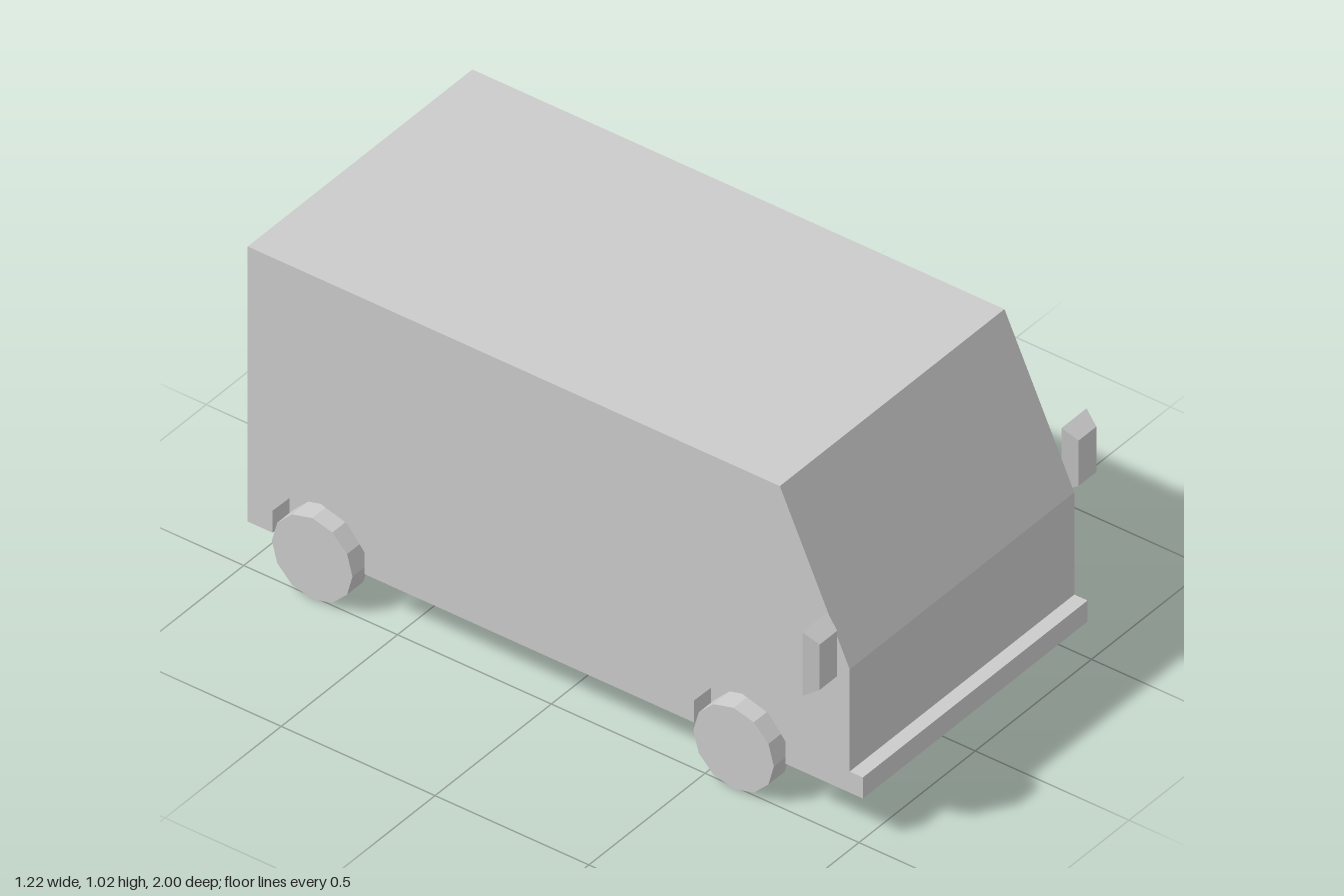
import * as THREE from 'three';

const material = new THREE.MeshStandardMaterial({ color: 0xcccccc, flatShading: true });

const HALF_WIDTH = 0.483;  // outer side panels
const WELL_X = 0.41;       // inner wall of the wheel wells
const FLOOR = 0.132;
const WHEEL_R = 0.131;
const AXLES = [-0.77, 0.6];

function addMesh(parent, name, geometry, x = 0, y = 0, z = 0) {
  const mesh = new THREE.Mesh(geometry, material);
  mesh.name = name;
  mesh.position.set(x, y, z);
  parent.add(mesh);
}

// Wheel arch outline as [z, y] points, from rear to front
function archPoints(z) {
  return [[-0.149, FLOOR], [-0.149, 0.203], [-0.093, 0.27], [0, 0.297],
    [0.093, 0.27], [0.149, 0.203], [0.149, FLOOR]].map(([dz, y]) => [z + dz, y]);
}

// Flat panel facing outward on the side that x lies on
function panel(points, x) {
  const side = Math.sign(x);
  const shape = new THREE.Shape(points.map(([z, y]) => new THREE.Vector2(-side * z, y)));
  return new THREE.ShapeGeometry(shape).rotateY(side * Math.PI / 2).translate(x, 0, 0);
}

// Closed [z, y] outline swept across x without end caps
function sweep(points, x0, x1) {
  const positions = [];
  points.forEach(([az, ay], i) => {
    const [bz, by] = points[(i + 1) % points.length];
    positions.push(x0, ay, az, x1, ay, az, x1, by, bz);
    positions.push(x0, ay, az, x1, by, bz, x0, by, bz);
  });
  const geometry = new THREE.BufferGeometry();
  geometry.setAttribute('position', new THREE.Float32BufferAttribute(positions, 3));
  geometry.computeVertexNormals();
  return geometry;
}

// Mirror housing: a box whose front face is drawn in
function mirrorGeometry() {
  const geometry = new THREE.BoxGeometry(0.108, 0.206, 0.044);
  const pos = geometry.attributes.position;
  for (let i = 0; i < pos.count; i++) {
    if (pos.getZ(i) > 0) pos.setXY(i, pos.getX(i) * 0.7, pos.getY(i) * 0.71);
  }
  geometry.computeVertexNormals();
  return geometry;
}

export function createModel() {
  const van = new THREE.Group();
  van.name = 'van';

  // Side outline: bumper step, nose, windscreen, roof, back
  const upper = [[1, FLOOR], [1, 0.2], [0.957, 0.2], [0.957, 0.53],
    [0.73, 1.02], [-1, 1.02]];
  const plain = [[-1, FLOOR], ...upper];
  const notched = [[-1, FLOOR], ...AXLES.flatMap(archPoints), ...upper];

  // Body shell, with wheel wells cut into both sides
  const body = new THREE.Group();
  body.name = 'body';
  van.add(body);
  addMesh(body, 'centreShell', sweep(plain, -WELL_X, WELL_X));
  addMesh(body, 'leftShell', sweep(notched, WELL_X, HALF_WIDTH));
  addMesh(body, 'rightShell', sweep(notched, -HALF_WIDTH, -WELL_X));

  const wheel = new THREE.CylinderGeometry(WHEEL_R, WHEEL_R, 0.07, 12).rotateZ(Math.PI / 2);
  const axle = new THREE.CylinderGeometry(0.04, 0.04, 0.86, 4).rotateZ(Math.PI / 2);
  const mirror = mirrorGeometry();

  for (const [side, label] of [[1, 'left'], [-1, 'right']]) {
    addMesh(body, label + 'SidePanel', panel(notched, side * HALF_WIDTH));
    addMesh(van, label + 'Mirror', mirror, side * 0.557, 0.597, 0.922);
    AXLES.forEach((z, i) => {
      const end = i ? 'Front' : 'Rear';
      addMesh(body, label + end + 'WheelWell', panel(archPoints(z), side * WELL_X));
      addMesh(van, label + end + 'Wheel', wheel, side * 0.475, WHEEL_R, z);
    });
  }

  // Diamond-section axles
  AXLES.forEach((z, i) => addMesh(van, i ? 'frontAxle' : 'rearAxle', axle, 0, WHEEL_R, z));

  return van;
}
